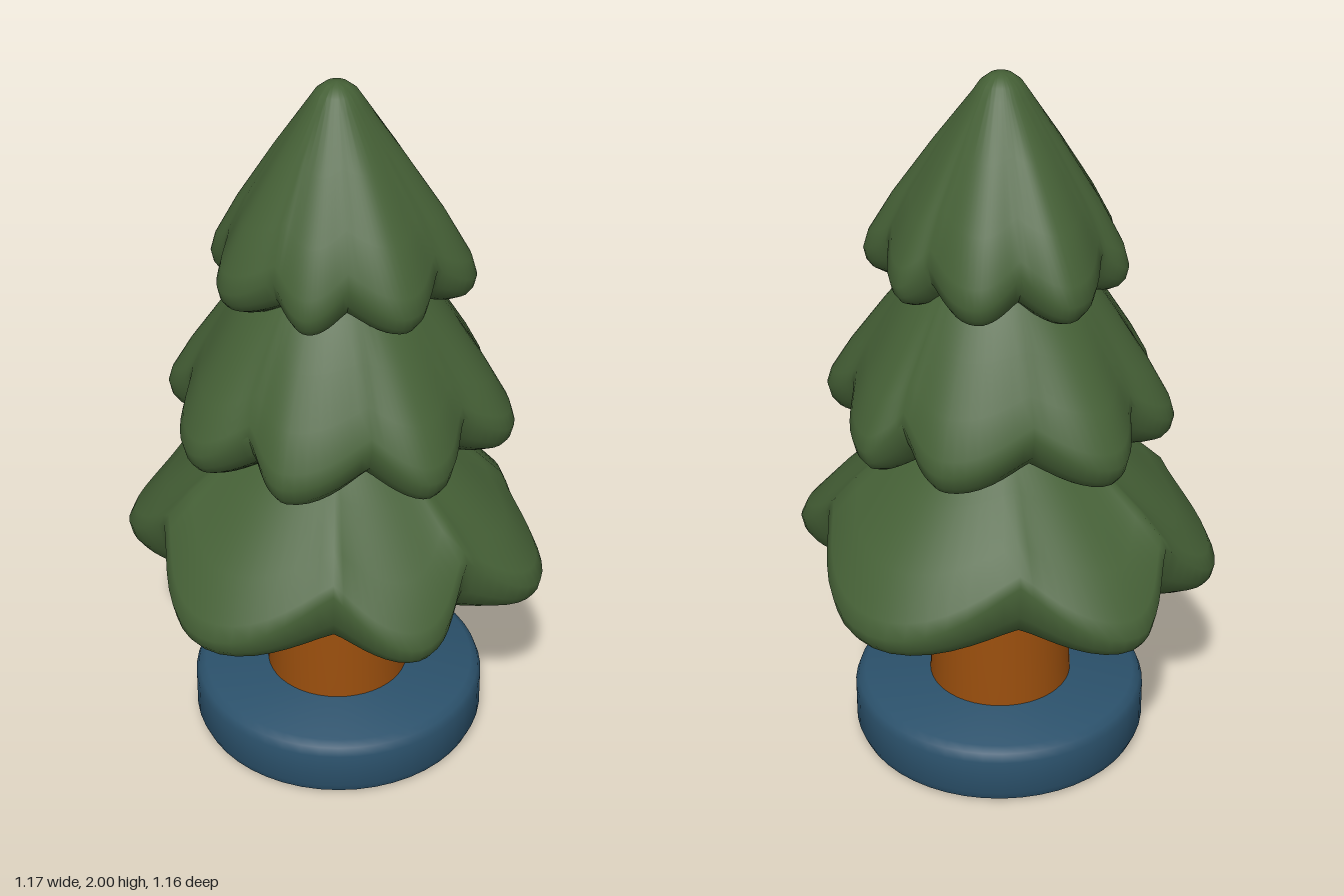
import * as THREE from 'three';
import { toCreasedNormals } from 'three/addons/utils/BufferGeometryUtils.js';

const makeMaterial = (name, color) => {
  const m = new THREE.MeshStandardMaterial({ color });
  m.name = name;
  return m;
};

const { lerp } = THREE.MathUtils;
const STEPS = 8; // slices per half lobe

// Scalloped cone. outline: plan points [x, z], alternating notch and lobe tip.
function foliageTier({ outline, shoulder, notchY, tipY, bottomY, innerR, innerY, inset }) {
  const polar = outline.map(([x, z]) => ({ a: Math.atan2(z, x), r: Math.hypot(x, z) }));
  const columns = [];
  polar.forEach((p, i) => {
    const q = polar[(i + 1) % polar.length];
    const sweep = (q.a - p.a + 4 * Math.PI) % (2 * Math.PI);
    for (let s = 0; s < STEPS; s++) {
      const t = s / STEPS;
      // 0 at a notch, 1 at a rounded lobe tip
      const wave = Math.sin((Math.PI / 2) * (i % 2 ? 1 - t : t));
      const w = Math.pow(wave, 1.5), drop = Math.pow(wave, 1.1);
      const notch = i % 2 ? q : p, tip = i % 2 ? p : q;
      const R = lerp(notch.r, tip.r, w), y = lerp(notchY, tipY, drop);
      const [sr, sy] = shoulder[shoulder.length - 1];
      const edgeR = lerp(innerR, R - inset, drop), edgeY = lerp(innerY, bottomY, drop);
      const profile = [
        ...shoulder,
        [lerp(sr, R, 0.35), lerp(sy, y, 0.3)],
        [lerp(sr, R, 0.72), lerp(sy, y, 0.64)],
        [lerp(sr, R, 0.95), lerp(sy, y, 0.89)],
        [R, y],
        [lerp(R, edgeR, 0.15), lerp(y, edgeY, 0.5)],
        [lerp(R, edgeR, 0.45), lerp(y, edgeY, 0.8)],
        [edgeR, edgeY],
        [innerR * 0.7, innerY],
        [0, innerY],
      ];
      columns.push({ a: p.a + sweep * t, profile });
    }
  });

  const rows = columns[0].profile.length, positions = [], index = [];
  columns.forEach(({ a, profile }, c) => {
    const next = ((c + 1) % columns.length) * rows, here = c * rows;
    profile.forEach(([r, y], j) => {
      positions.push(r * Math.cos(a), y, r * Math.sin(a));
      if (j === rows - 1) return;
      if (j > 0) index.push(here + j, next + j, here + j + 1);
      if (j < rows - 2) index.push(next + j, next + j + 1, here + j + 1);
    });
  });
  const geometry = new THREE.BufferGeometry();
  geometry.setAttribute('position', new THREE.Float32BufferAttribute(positions, 3));
  geometry.setIndex(index);
  return toCreasedNormals(geometry, 1);
}

const tiers = {
  lowerFoliage: {
    outline: [
      [0.34, 0.34], [0.18, 0.57], [-0.05, 0.48], [-0.27, 0.495],
      [-0.39, 0.29], [-0.588, -0.01], [-0.41, -0.28], [-0.25, -0.55],
      [-0.04, -0.52], [0.17, -0.575], [0.35, -0.32], [0.585, 0.01],
    ],
    shoulder: [[0, 1.2], [0.2, 1.02]],
    notchY: 0.755, tipY: 0.605, bottomY: 0.538, innerR: 0.36, innerY: 0.55, inset: 0.05,
  },
  middleFoliage: {
    outline: [
      [0.4, 0.025], [0.45, 0.12], [0.285, 0.28], [0.185, 0.455],
      [0.015, 0.41], [-0.17, 0.455], [-0.26, 0.315], [-0.435, 0.16],
      [-0.4, 0.02], [-0.45, -0.14], [-0.26, -0.295], [-0.19, -0.435],
      [-0.035, -0.4], [0.13, -0.47], [0.265, -0.3], [0.435, -0.13],
    ],
    shoulder: [[0, 1.7], [0.24, 1.44]],
    notchY: 1.155, tipY: 1.065, bottomY: 0.99, innerR: 0.26, innerY: 1.025, inset: 0.06,
  },
  upperFoliage: {
    outline: [
      [0.28, 0.025], [0.31, 0.11], [0.21, 0.21], [0.16, 0.335],
      [0.02, 0.31], [-0.125, 0.335], [-0.21, 0.2], [-0.3, 0.13],
      [-0.29, 0.02], [-0.31, -0.14], [-0.2, -0.21], [-0.14, -0.31],
      [-0.045, -0.29], [0.14, -0.335], [0.2, -0.21], [0.305, -0.14],
    ],
    shoulder: [[0, 2], [0.03, 1.995], [0.055, 1.975], [0.075, 1.945]],
    notchY: 1.56, tipY: 1.49, bottomY: 1.425, innerR: 0.2, innerY: 1.455, inset: 0.05,
  },
};

// Solid of revolution from a bottom-to-top profile
const turned = (points) => toCreasedNormals(
  new THREE.LatheGeometry(points.map(([r, y]) => new THREE.Vector2(r, y)), 48), 0.7);

export function createModel() {
  const group = new THREE.Group();
  group.name = 'tree';
  const add = (name, geometry, material) => {
    const mesh = new THREE.Mesh(geometry, material);
    mesh.name = name;
    group.add(mesh);
    return mesh;
  };
  const green = makeMaterial('needle green', 0x456036);
  const brown = makeMaterial('trunk orange brown', 0x994e0d);
  const blue = makeMaterial('base blue', 0x2b516b);

  // Round stand with softened edges
  add('base', turned([
    [0, 0.005], [0.385, 0.005], [0.406, 0.014], [0.417, 0.04],
    [0.417, 0.145], [0.408, 0.17], [0.388, 0.183], [0, 0.185],
  ]), blue).position.set(0.006, 0, 0.003);

  // Tapered trunk
  add('trunk', turned([[0.203, 0.17], [0.196, 0.33], [0.183, 0.56]]), brown).position.x = 0.005;

  // Stacked branches
  for (const [name, tier] of Object.entries(tiers)) add(name, foliageTier(tier), green);
  return group;
}
